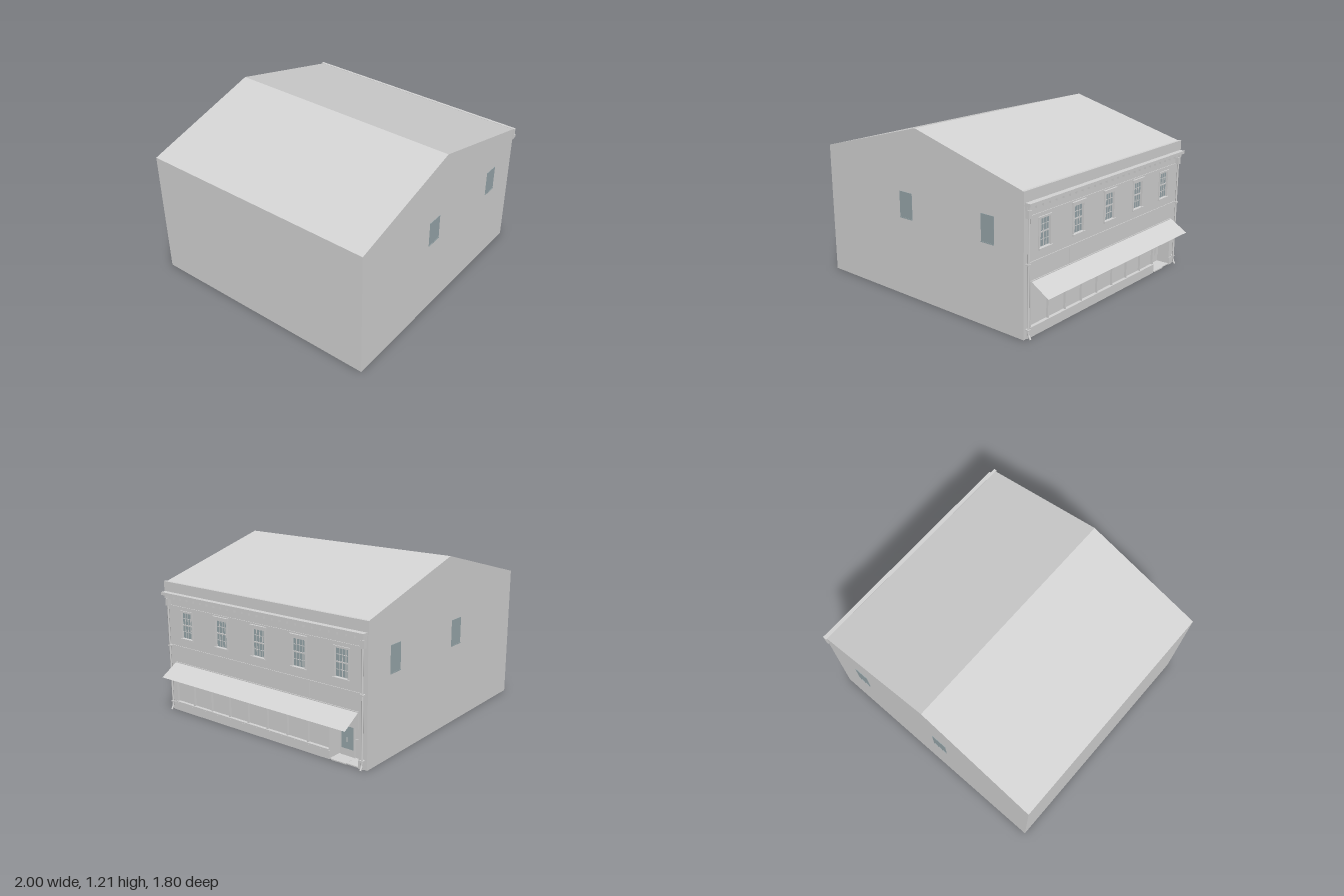
import * as THREE from 'three';

export function createModel() {
  const model = new THREE.Group();
  model.name = 'shopBuilding';
  const wall = new THREE.MeshStandardMaterial({ name: 'paleGrey', color: 0xd4d4d4, side: THREE.DoubleSide });
  const glass = new THREE.MeshStandardMaterial({ name: 'blueGreyGlass', color: 0x99a8ac, side: THREE.DoubleSide });

  const add = (name, geo, mat = wall, parent = model) => {
    const m = new THREE.Mesh(geo, mat);
    m.name = name;
    parent.add(m);
    return m;
  };
  // Box from its limits on each axis
  const box = (name, x0, x1, y0, y1, z0, z1, mat, parent) => {
    const g = new THREE.BoxGeometry(x1 - x0, y1 - y0, z1 - z0);
    g.translate((x0 + x1) / 2, (y0 + y1) / 2, (z0 + z1) / 2);
    return add(name, g, mat, parent);
  };
  const shape = pts => new THREE.Shape(pts.map(p => new THREE.Vector2(...p)));
  const rect = (z0, z1, y0, y1) => shape([[z0, y0], [z1, y0], [z1, y1], [z0, y1]]);
  // Flat (z, y) outline thickened backwards from x = front
  const panel = (name, outline, front, depth) => {
    const g = new THREE.ExtrudeGeometry(outline, { depth, bevelEnabled: false });
    g.rotateY(-Math.PI / 2);
    g.translate(front, 0, 0);
    return add(name, g);
  };
  // Flat four-cornered sheet
  const sheet = (name, a, b, c, d, mat) => {
    const g = new THREE.BufferGeometry();
    g.setAttribute('position', new THREE.Float32BufferAttribute([...a, ...b, ...c, ...a, ...c, ...d], 3));
    g.computeVertexNormals();
    return add(name, g, mat);
  };

  // Shell, open underneath
  const W = 0.89, EAVE = 0.96, RIDGE = 1.21, RX = -0.08, FX = 0.855;
  const gable = shape([[-1, 0], [FX, 0], [FX, EAVE], [RX, RIDGE], [-1, EAVE]]);
  for (const s of [1, -1]) {
    const g = new THREE.ShapeGeometry(gable);
    if (s < 0) {
      g.scale(-1, 1, 1);
      g.rotateY(Math.PI);
    }
    g.translate(0, 0, s * W);
    const m = add('sideWall', g);
    // Side windows with small sills
    for (const [x0, x1] of [[-0.25, -0.13], [0.505, 0.615]]) {
      box('sideWindow', x0, x1, 0.572, 0.756, s * W - 0.003, s * W + 0.003, glass, m);
      box('sideSill', x0, x1, 0.567, 0.573, s * W - 0.005, s * W + 0.005, glass, m);
    }
  }
  sheet('backWall', [-1, 0, -W], [-1, 0, W], [-1, EAVE, W], [-1, EAVE, -W]);
  sheet('roofBackSlope', [-1, EAVE, W], [RX, RIDGE, W], [RX, RIDGE, -W], [-1, EAVE, -W]);
  sheet('roofStreetSlope', [RX, RIDGE, W], [FX, EAVE, W], [FX, EAVE, -W], [RX, RIDGE, -W]);
  box('shopFloor', 0.1, FX - 0.01, 0.001, 0.006, -W + 0.002, W - 0.002);

  // Street facade with openings for shop windows, entry and sash windows
  const facade = rect(-W, W, 0, EAVE);
  const windowZ = [-0.69, -0.347, 0, 0.347, 0.69];
  facade.holes.push(rect(-0.585, 0.826, 0.068, 0.262), rect(-0.825, -0.6, 0.008, 0.262));
  for (const z of windowZ) facade.holes.push(rect(z - 0.055, z + 0.055, 0.565, 0.76));
  panel('facade', facade, FX, 0.025);

  // Upper wall face with a central sign panel stepping down
  const upper = shape([[-0.86, 0.485], [-0.435, 0.485], [-0.435, 0.378], [0.435, 0.378],
    [0.435, 0.485], [0.86, 0.485], [0.86, 0.5], [-0.86, 0.5]]);
  panel('signPanel', upper, FX + 0.005, 0.008);

  // Sash windows
  for (const z of windowZ) {
    const w = new THREE.Group();
    w.name = 'sashWindow';
    model.add(w);
    const bar = (n, x, y0, y1, a, b) => box(n, FX - 0.012, x, y0, y1, z + a, z + b, wall, w);
    box('sashGlass', FX - 0.018, FX - 0.012, 0.565, 0.76, z - 0.055, z + 0.055, glass, w);
    for (const s of [-1, 1]) bar('jamb', FX + 0.006, 0.565, 0.765, s * 0.058 - 0.006, s * 0.058 + 0.006);
    bar('sill', FX + 0.014, 0.555, 0.567, -0.065, 0.065);
    bar('lintel', FX + 0.008, 0.757, 0.77, -0.065, 0.065);
    bar('meetingRail', FX - 0.006, 0.659, 0.667, -0.053, 0.053);
    for (const y of [0.613, 0.711]) bar('muntin', FX - 0.009, y - 0.0015, y + 0.0015, -0.053, 0.053);
    for (const a of [-0.026, 0, 0.026]) bar('muntin', FX - 0.009, 0.567, 0.757, a - 0.0015, a + 0.0015);
    // Hood moulding over the three middle windows
    if (Math.abs(z) < 0.5) bar('hood', FX + 0.014, 0.77, 0.785, -0.072, 0.072);
  }

  // Parapet, cornice and dentils
  box('parapet', 0.845, 0.865, 0.88, 0.965, -0.9, 0.9);
  box('cornice', 0.85, 0.905, 0.872, 0.893, -0.89, 0.89);
  box('corniceBed', 0.85, 0.872, 0.842, 0.872, -0.88, 0.88);
  for (let i = 0; i < 27; i++) {
    const z = -0.865 + i * 1.73 / 26;
    box('dentil', 0.87, 0.888, 0.848, 0.872, z - 0.011, z + 0.011);
  }
  box('friezeLine', 0.85, 0.86, 0.79, 0.797, -0.86, 0.86);

  // Downpipes with kicked-out feet, clamps and hopper heads
  for (const s of [-1, 1]) {
    const z = s * 0.862;
    const path = new THREE.CurvePath();
    const p = [[0.872, 0.845], [0.872, 0.045], [0.876, 0.025], [0.888, 0.004]].map(([x, y]) => new THREE.Vector3(x, y, z));
    for (let i = 0; i < 3; i++) path.add(new THREE.LineCurve3(p[i], p[i + 1]));
    add('downpipe', new THREE.TubeGeometry(path, 36, 0.007, 8, false));
    box('pipeHead', 0.85, 0.882, 0.792, 0.842, z - 0.014, z + 0.014);
    box('pipeClamp', 0.85, 0.881, 0.49, 0.5, z - 0.012, z + 0.012);
    box('pipeClamp', 0.85, 0.881, 0.06, 0.068, z - 0.012, z + 0.012);
  }

  // Shopfront
  box('shopWindowPanes', FX - 0.02, FX - 0.012, 0.066, 0.264, -0.588, 0.828);
  for (let i = 0; i < 9; i++) {
    const z = 0.826 - i * 0.1775;
    box('shopMullion', FX - 0.014, FX + 0.004, 0.066, 0.262, z - 0.004, z + 0.004);
  }
  box('shopSill', FX - 0.014, FX + 0.012, 0.06, 0.07, -0.594, 0.832);
  box('plinth', FX, FX + 0.007, 0, 0.057, -0.6, 0.86);
  box('plinthEnd', FX, FX + 0.007, 0, 0.057, -0.86, -0.825);
  box('shopHeader', FX, FX + 0.006, 0.262, 0.375, -0.826, 0.826);

  // Recessed entry
  const BX = 0.755;
  box('entryBack', BX - 0.006, BX, 0, 0.265, -0.828, -0.597);
  box('entryCheek', BX, FX, 0, 0.265, -0.6, -0.594);
  box('entryCheek', BX, FX, 0, 0.265, -0.831, -0.825);
  box('entryCeiling', BX, FX, 0.262, 0.268, -0.828, -0.597);
  box('entryStep', BX, FX + 0.008, 0, 0.008, -0.73, -0.612);
  box('entryFloor', BX, FX, 0, 0.007, -0.825, -0.6);
  box('door', BX, BX + 0.008, 0.008, 0.255, -0.726, -0.614);
  box('doorGlass', BX + 0.006, BX + 0.011, 0.058, 0.238, -0.717, -0.623, glass);
  box('doorHandle', BX + 0.01, BX + 0.018, 0.108, 0.135, -0.672, -0.667);
  box('entryRail', BX, BX + 0.006, 0.132, 0.138, -0.825, -0.728);
  box('entrySidePanel', BX, BX + 0.006, 0.058, 0.236, -0.824, -0.786);

  // Sloping awning
  const AW = 0.822;
  sheet('awning', [0.862, 0.37, AW], [0.995, 0.29, AW], [0.995, 0.29, -AW], [0.862, 0.37, -AW]);

  return model;
}
